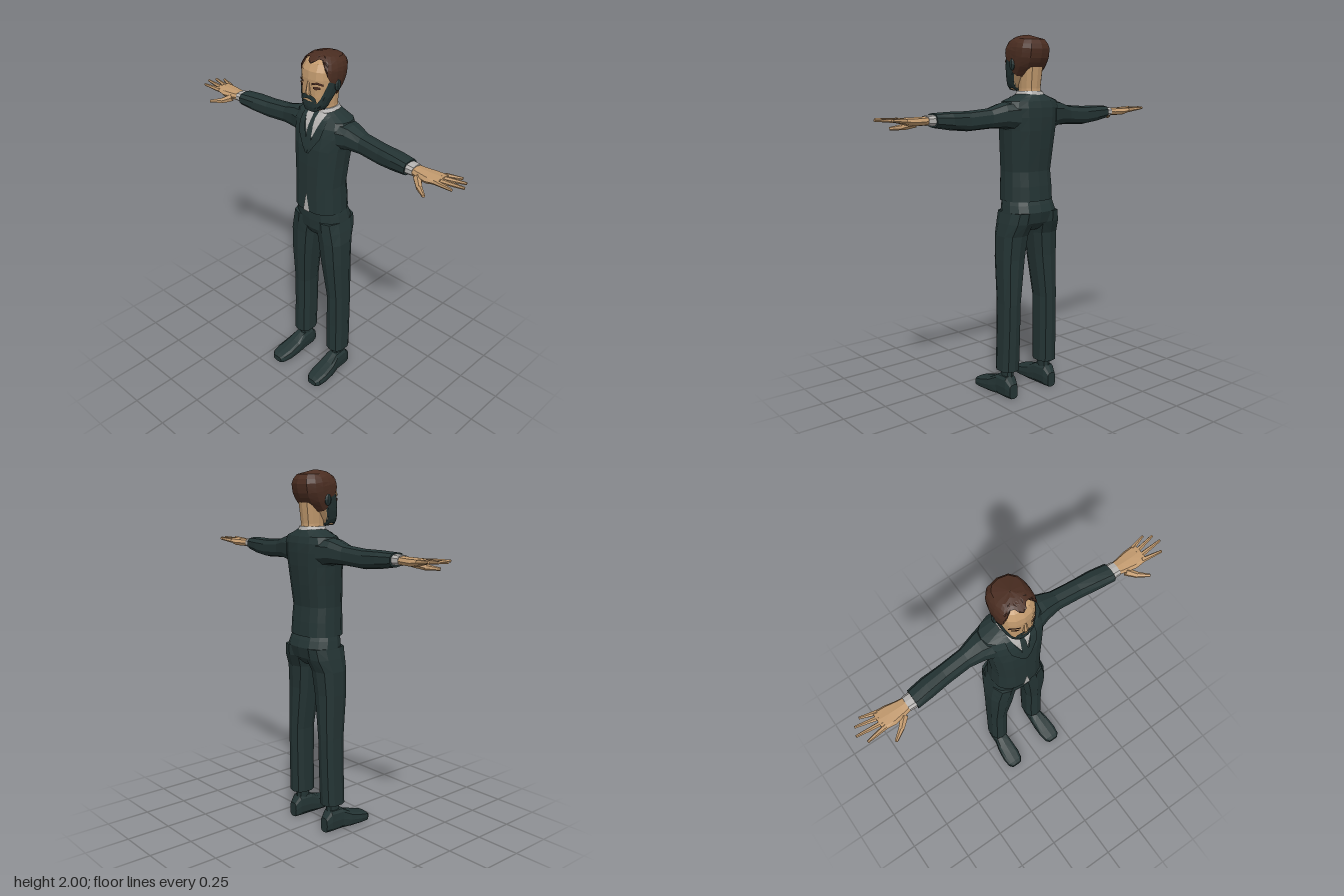
import * as THREE from 'three';

const mat = (name, color) => new THREE.MeshStandardMaterial({ name, color, flatShading: true, side: THREE.DoubleSide });
const lerp = THREE.MathUtils.lerp;
const power = (v, e) => Math.sign(v) * Math.abs(v) ** e;

// Faceted surface from rows of [x, y, z] points
function grid(rows) {
  const pos = [];
  const tri = (a, b, c) => {
    const ab = a.map((v, i) => b[i] - v), ac = a.map((v, i) => c[i] - v);
    const n = new THREE.Vector3(...ab).cross(new THREE.Vector3(...ac));
    if (n.length() > 1e-9) pos.push(...a, ...b, ...c);
  };
  for (let i = 0; i < rows.length - 1; i++) {
    for (let j = 0; j < rows[i].length - 1; j++) {
      tri(rows[i][j], rows[i][j + 1], rows[i + 1][j + 1]);
      tri(rows[i][j], rows[i + 1][j + 1], rows[i + 1][j]);
    }
  }
  const g = new THREE.BufferGeometry();
  g.setAttribute('position', new THREE.Float32BufferAttribute(pos, 3));
  g.computeVertexNormals();
  return g;
}

// Closed body from rounded sections [t, u0, u1, v0, v1]; (u, v) follow the axis cyclically
function loft(axis, sections, sides = 10, p = 2.6) {
  const k = 'xyz'.indexOf(axis);
  const point = (t, u, v) => {
    const q = [0, 0, 0];
    q[k] = t; q[(k + 1) % 3] = u; q[(k + 2) % 3] = v;
    return q;
  };
  const ring = ([t, u0, u1, v0, v1], s) => Array.from({ length: sides + 1 }, (_, j) => {
    const a = (j % sides) / sides * Math.PI * 2;
    return point(t, (u0 + u1) / 2 + s * (u1 - u0) / 2 * power(Math.cos(a), 2 / p),
      (v0 + v1) / 2 + s * (v1 - v0) / 2 * power(Math.sin(a), 2 / p));
  });
  const sec = [...sections].sort((a, b) => a[0] - b[0]);
  return grid([ring(sec[0], 0), ...sec.map(s => ring(s, 1)), ring(sec[sec.length - 1], 0)]);
}

// Profiles hold [y, halfWidth, frontZ, backZ]
function at(prof, y) {
  let i = 0;
  while (i < prof.length - 2 && y > prof[i + 1][0]) i++;
  const f = THREE.MathUtils.clamp((y - prof[i][0]) / (prof[i + 1][0] - prof[i][0]), 0, 1);
  return prof[i].map((v, n) => lerp(v, prof[i + 1][n], f));
}
const profileLoft = (prof, sides) => loft('y', prof.map(([y, w, f, b]) => [y, b, f, -w, w]), sides, 2.5);

// Thin plate on the front of a profile, rows are [y, x0, x1]
function frontPlate(prof, rows, off) {
  const fine = [];
  const sorted = [...rows].sort((a, b) => a[0] - b[0]);
  sorted.forEach((r, i) => {
    const next = sorted[i + 1];
    for (let s = 0; s < (next ? 3 : 1); s++) fine.push(next ? r.map((v, n) => lerp(v, next[n], s / 3)) : r);
  });
  return grid(fine.map(([y, x0, x1]) => Array.from({ length: 7 }, (_, j) => {
    const x = lerp(x0, x1, j / 6), [, w, f, b] = at(prof, y);
    const d = (1 - Math.min(1, Math.abs(x) / w) ** 2.5) ** 0.4;
    return [x, y, (f + b) / 2 + (f - b) / 2 * d + off];
  })));
}

const HEAD = [[1.708, .001, .01, .008], [1.71, .045, .046, -.04], [1.74, .068, .052, -.06], [1.79, .085, .052, -.1],
  [1.84, .094, .054, -.15], [1.88, .098, .055, -.17], [1.92, .098, .05, -.175], [1.955, .084, .03, -.165],
  [1.977, .058, -.005, -.135], [1.986, .03, -.04, -.1], [1.988, .001, -.066, -.068]];

// Patch of the head surface, columns are [angle from the front, lowY, highY]
function headPatch(cols, k, steps = 6) {
  return grid(Array.from({ length: steps + 1 }, (_, i) => cols.map(([a, lo, hi]) => {
    const y = lerp(lo, hi, i / steps), [, w, f, b] = at(HEAD, y);
    const x = w * power(Math.sin(a), .8), z = (f + b) / 2 + (f - b) / 2 * power(Math.cos(a), .8);
    return [x * k, 1.85 + (y - 1.85) * k, -.06 + (z + .06) * k];
  })));
}

// Tapered bar between two points
function bar(a, b, r0, r1) {
  const p = new THREE.Vector3(...a), q = new THREE.Vector3(...b), d = q.clone().sub(p);
  return new THREE.CylinderGeometry(r1, r0, d.length(), 6)
    .applyQuaternion(new THREE.Quaternion().setFromUnitVectors(new THREE.Vector3(0, 1, 0), d.normalize()))
    .translate(...p.add(q).multiplyScalar(.5).toArray());
}

// Reflection across x = 0 with the corner order restored
function mirror(geo) {
  const g = geo.index ? geo.toNonIndexed() : geo.clone();
  const a = g.attributes.position;
  for (let i = 0; i < a.count; i += 3) {
    const t = [0, 2, 1].map(n => [-a.getX(i + n), a.getY(i + n), a.getZ(i + n)]);
    t.forEach((v, n) => a.setXYZ(i + n, ...v));
  }
  g.computeVertexNormals();
  return g;
}

export function createModel() {
  const root = new THREE.Group();
  root.name = 'suitedMan';
  const suit = mat('suit', 0x243434), skin = mat('skin', 0xc29a6e);
  const hair = mat('hair', 0x4a2d21), shirt = mat('shirt', 0xb4b2b0);
  const add = (name, geo, m) => {
    const mesh = new THREE.Mesh(geo, m);
    mesh.name = name;
    root.add(mesh);
  };
  const pair = (name, geo, m) => {
    add(name + 'Left', geo, m);
    add(name + 'Right', mirror(geo), m);
  };

  // Jacket body with shirt front, tie and lapels
  const torso = [[1.12, .146, .07, -.17], [1.2, .143, .07, -.166], [1.28, .14, .068, -.156], [1.4, .15, .065, -.17],
    [1.5, .16, .06, -.18], [1.57, .173, .045, -.182], [1.62, .178, .03, -.18], [1.655, .165, .01, -.17],
    [1.675, .11, -.008, -.157], [1.692, .07, -.02, -.147]];
  add('jacket', profileLoft(torso, 16), suit);
  add('shirtFront', frontPlate(torso, [[1.685, -.06, .06], [1.66, -.058, .058], [1.62, -.042, .042], [1.57, -.022, .022], [1.53, -.002, .002]], .005), shirt);
  add('tie', frontPlate(torso, [[1.69, -.016, .016], [1.66, -.011, .011], [1.6, -.017, .017], [1.53, -.019, .019], [1.48, -.001, .001]], .009), suit);
  pair('lapel', frontPlate(torso, [[1.675, .06, .085], [1.62, .043, .085], [1.57, .024, .075], [1.475, 0, .012]], .008), suit);
  add('shirtHem', frontPlate(torso, [[1.235, -.001, .001], [1.18, -.012, .012], [1.122, -.023, .023]], .005), shirt);
  add('collar', profileLoft([[1.66, .078, -.008, -.155], [1.69, .073, -.01, -.15], [1.706, .062, -.014, -.145]], 14), shirt);

  // Arms, cuffs and hands
  pair('sleeve', loft('x', [[.12, 1.5, 1.658, -.165, .015], [.19, 1.515, 1.648, -.145, -.008], [.27, 1.517, 1.622, -.122, -.024],
    [.4, 1.51, 1.612, -.112, -.016], [.5, 1.52, 1.612, -.106, 0], [.59, 1.535, 1.608, -.09, .012]]), suit);
  pair('cuff', loft('x', [[.57, 1.543, 1.602, -.082, .004], [.63, 1.546, 1.598, -.078, .002]]), shirt);
  pair('palm', loft('x', [[.61, 1.55, 1.594, -.073, -.003], [.66, 1.548, 1.592, -.08, .008],
    [.72, 1.548, 1.592, -.092, .02], [.785, 1.566, 1.592, -.094, .016]], 8), skin);
  const fingers = [[-.08, .85, -.102], [-.052, .89, -.075], [-.022, .907, -.032], [.003, .875, .022]];
  fingers.forEach(([z, x, tz], i) => pair('finger' + (i + 1), bar([.765, 1.578, z], [x, 1.586, tz], .014, .007), skin));
  pair('thumb', bar([.665, 1.56, 0], [.71, 1.54, .042], .022, .016), skin);
  pair('thumbTip', bar([.705, 1.541, .038], [.765, 1.533, .08], .016, .008), skin);

  // Trousers
  add('hips', profileLoft([[.955, .06, .02, -.12], [1.0, .165, .045, -.17], [1.06, .156, .05, -.186], [1.1, .148, .05, -.172], [1.13, .14, .05, -.157]], 14), suit);
  pair('trouserLeg', loft('y', [[1.06, -.182, .049, .012, .155], [1, -.174, .047, .008, .17], [.93, -.142, .043, .022, .183],
    [.8, -.132, .037, .04, .186], [.55, -.13, .014, .074, .184], [.35, -.126, .014, .076, .187], [.16, -.12, .016, .078, .192]]), suit);

  // Ankles and shoes
  pair('ankle', loft('y', [[.09, -.092, -.008, .105, .165], [.18, -.088, -.012, .108, .16]], 8), suit);
  pair('shoe', loft('z', [[-.117, .112, .168, 0, .085], [-.085, .1, .18, 0, .128], [-.005, .095, .184, 0, .125], [.05, .09, .198, 0, .092],
    [.12, .09, .205, 0, .07], [.17, .1, .2, 0, .056], [.19, .118, .182, .004, .04]], 12, 3.4), suit);

  // Neck and head
  add('neck', profileLoft([[1.65, .058, -.018, -.142], [1.72, .054, -.02, -.138], [1.83, .06, -.02, -.152]], 12), skin);
  add('skull', profileLoft(HEAD, 16), skin);
  add('nose', loft('y', [[1.798, .04, .066, -.017, .017], [1.812, .04, .07, -.014, .014], [1.868, .04, .059, -.007, .007]], 6, 2), skin);
  pair('ear', new THREE.SphereGeometry(1, 7, 6).scale(.014, .032, .022).translate(.098, 1.845, -.055), suit);

  // Hair with receding temples, brows and eyes
  const hairline = [[0, 1.948], [.15, 1.957], [.35, 1.968], [.6, 1.966], [.8, 1.94], [1, 1.9], [1.2, 1.87], [1.5, 1.855],
    [1.75, 1.805], [2.1, 1.79], [2.6, 1.785], [Math.PI, 1.785]];
  pair('hair', headPatch(hairline.map(([a, y]) => [a, y, 1.988]), 1.07, 9), hair);
  pair('brow', headPatch([[.2, 1.855, 1.866], [.5, 1.862, 1.874], [.85, 1.852, 1.864]], 1.05, 2), hair);
  pair('eye', headPatch([[.27, 1.838, 1.847], [.45, 1.833, 1.851], [.7, 1.838, 1.848]], 1.04, 2), hair);

  // Full beard and moustache
  pair('beard', headPatch([[0, 1.708, 1.768], [.3, 1.708, 1.77], [.55, 1.708, 1.755], [.8, 1.708, 1.785], [1, 1.708, 1.835],
    [1.12, 1.708, 1.87], [1.4, 1.708, 1.87], [1.7, 1.708, 1.85], [2.1, 1.708, 1.73], [Math.PI, 1.708, 1.715]], 1.045, 8), suit);
  pair('moustache', headPatch([[0, 1.782, 1.802], [.2, 1.778, 1.803], [.45, 1.764, 1.79], [.62, 1.752, 1.768]], 1.06, 2), suit);

  return root;
}
